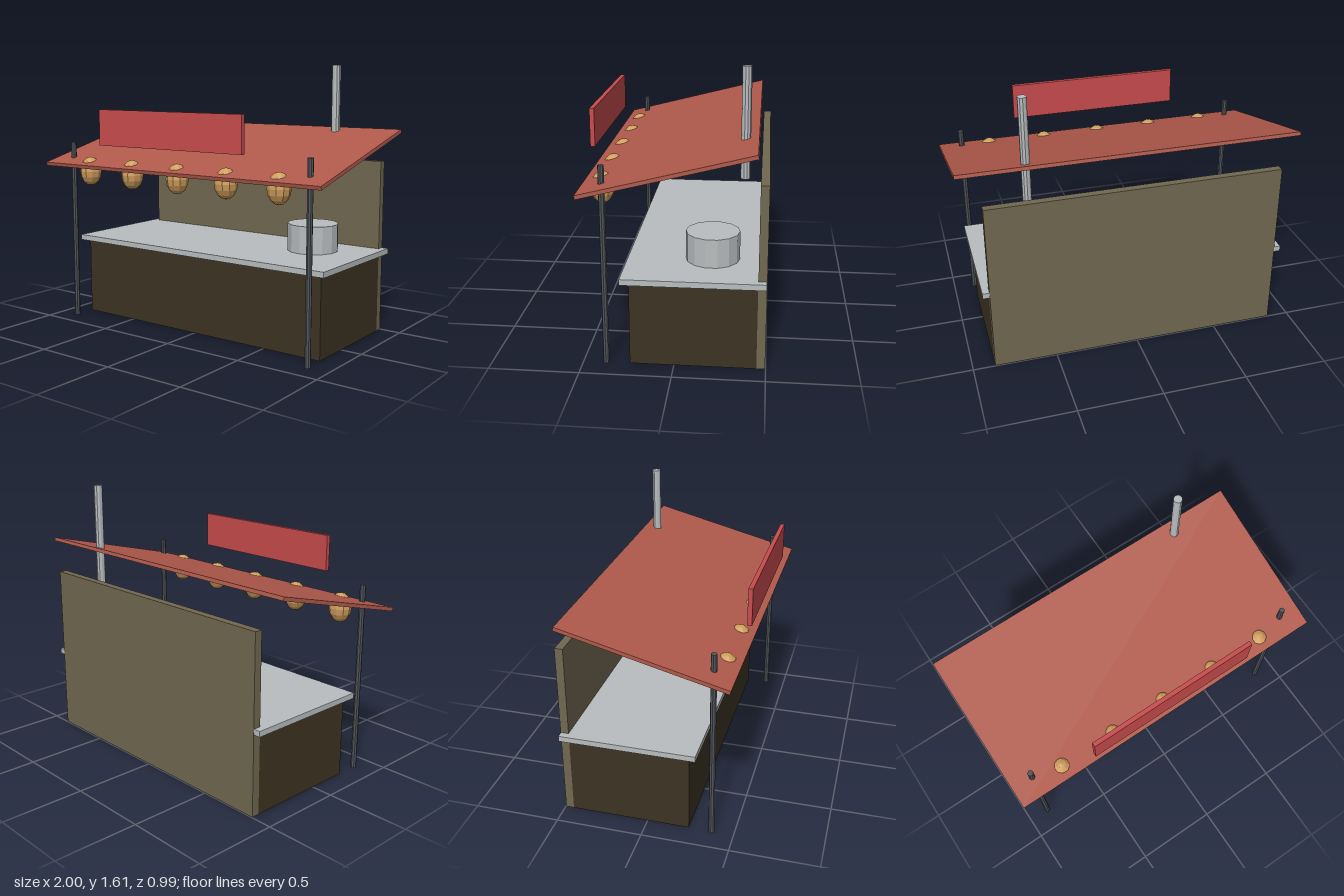
import * as THREE from 'three';

const mat = (name, color) => {
  const m = new THREE.MeshStandardMaterial({ color, flatShading: true });
  m.name = name;
  return m;
};

export function createModel() {
  const group = new THREE.Group();
  const darkWood = mat('dark wood', 0x3c3322);
  const panelWood = mat('olive panel', 0x706850);
  const steel = mat('pale steel', 0xb9bdbf);
  const iron = mat('dark iron', 0x50545a);
  const roofRed = mat('roof red', 0xb05a4b);
  const signRed = mat('sign red', 0xc94b4d);
  const paper = mat('lantern paper', 0xcf9d5c);

  const add = (name, geometry, material, x, y, z) => {
    const mesh = new THREE.Mesh(geometry, material);
    mesh.name = name;
    mesh.position.set(x, y, z);
    group.add(mesh);
    return mesh;
  };
  // Box given by its lower and upper limits on each axis
  const box = (name, material, [x0, x1], [y0, y1], [z0, z1]) =>
    add(name, new THREE.BoxGeometry(x1 - x0, y1 - y0, z1 - z0), material,
      (x0 + x1) / 2, (y0 + y1) / 2, (z0 + z1) / 2);
  // Upright cylinder between two heights
  const rod = (name, material, r, sides, x, y0, y1, z) =>
    add(name, new THREE.CylinderGeometry(r, r, y1 - y0, sides), material, x, (y0 + y1) / 2, z);

  // Stall body
  box('base', darkWood, [-0.87, 0.87], [0, 0.48], [-0.45, 0.243]);
  box('backWall', panelWood, [-0.87, 0.87], [0, 1.043], [-0.497, -0.45]);
  box('counterTop', steel, [-0.91, 0.91], [0.48, 0.513], [-0.495, 0.287]);

  // Cooking pot and chimney pipe
  rod('pot', steel, 0.152, 14, 0.563, 0.513, 0.677, -0.19);
  rod('chimney', steel, 0.026, 10, 0.607, 1.0, 1.61, -0.364);

  // Front posts
  for (const side of [-1, 1]) rod('post', iron, 0.017, 8, side * 0.87, 0, 1.13, 0.373);

  // Sloping roof, higher at the back
  const roof = add('roof', new THREE.BoxGeometry(2, 0.022, 0.955), roofRed, 0, 1.11, 0.025);
  roof.rotation.x = 0.25;

  // Sign board above the front edge
  box('signBoard', signRed, [-0.52, 0.52], [1.133, 1.348], [0.471, 0.497]);

  // Row of lanterns
  const lantern = new THREE.SphereGeometry(0.067, 10, 8).scale(1, 1.33, 1);
  for (let i = -2; i <= 2; i++) add('lantern', lantern, paper, i * 0.348, 0.958, 0.4);

  return group;
}
